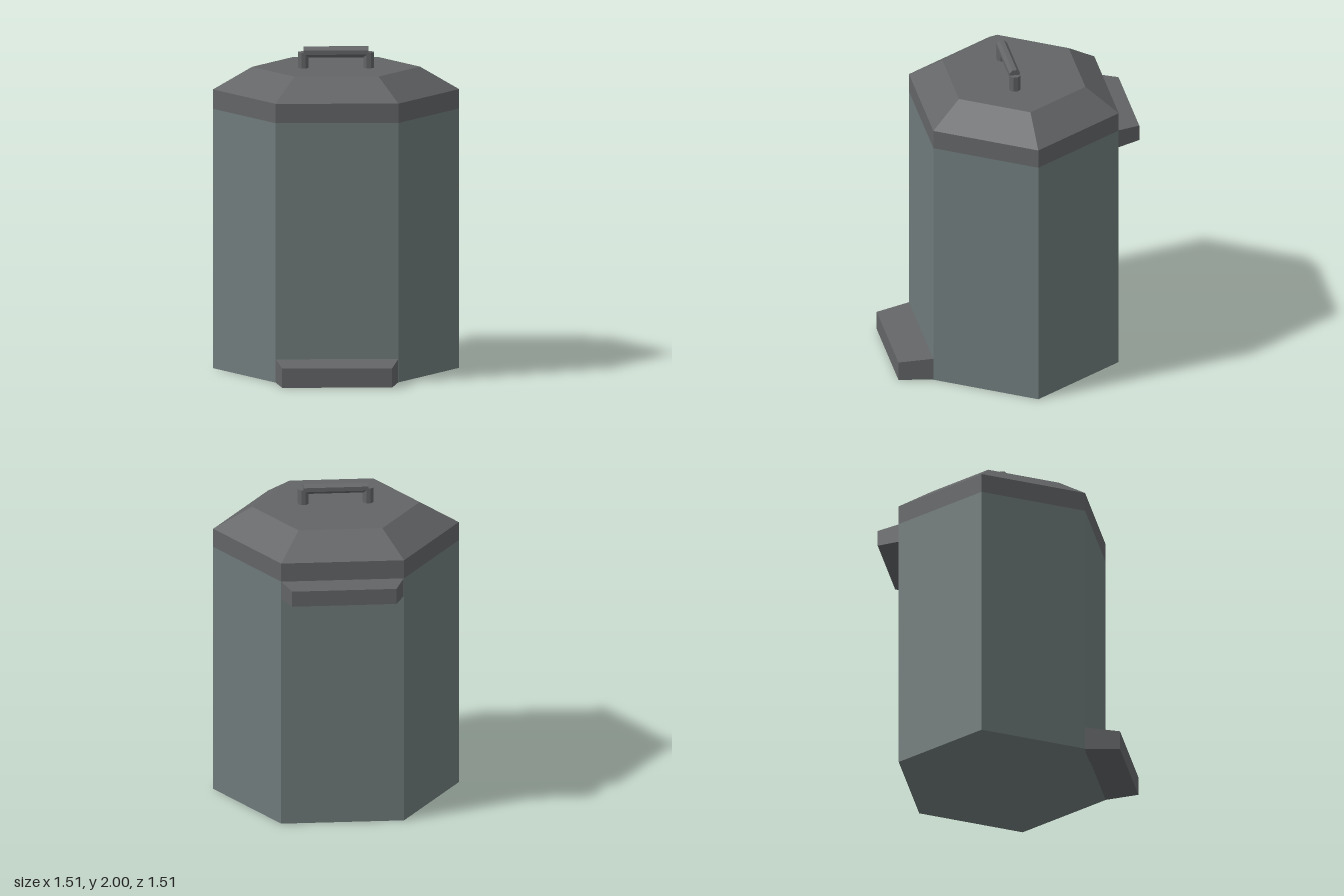
import * as THREE from 'three';

const bodyMat = new THREE.MeshStandardMaterial({ color: 0x6f7a7a, flatShading: true });
const trimMat = new THREE.MeshStandardMaterial({ color: 0x626466, flatShading: true });

const CENTRE_Z = -0.035;
const DEPTH = 0.887; // the hexagon is slightly flattened front to back

function add(parent, name, geometry, material) {
  const mesh = new THREE.Mesh(geometry, material);
  mesh.name = name;
  parent.add(mesh);
  return mesh;
}

// Closed stack of hexagonal rings given as [radius, y] from bottom to top
function hexStack(rings) {
  const points = rings.map(([r, y]) => new THREE.Vector2(r, y));
  const geo = new THREE.LatheGeometry(points, 6, Math.PI / 2);
  return geo.scale(1, 1, DEPTH).translate(0, 0, CENTRE_Z);
}

// Box tapering along z; each end is { z, halfWidth, bottom, top }
function taperedLedge(back, front) {
  const geo = new THREE.BoxGeometry(2, 1, 1);
  const p = geo.attributes.position;
  for (let i = 0; i < p.count; i++) {
    const end = p.getZ(i) > 0 ? front : back;
    p.setXYZ(i, Math.sign(p.getX(i)) * end.halfWidth, p.getY(i) > 0 ? end.top : end.bottom, end.z);
  }
  geo.computeVertexNormals();
  return geo;
}

// Octagonal rod with flats facing the axes
function rod(length) {
  return new THREE.CylinderGeometry(0.035, 0.035, length, 8).rotateY(Math.PI / 8);
}

export function createModel() {
  const model = new THREE.Group();
  model.name = 'pedalBin';

  // Bin body and bevelled lid
  add(model, 'body', hexStack([[0, 0], [0.755, 0], [0.755, 1.61]]), bodyMat);
  add(model, 'lid', hexStack([[0.755, 1.61], [0.755, 1.73], [0.515, 1.87], [0, 1.87]]), trimMat);

  // Foot pedal at the front
  add(model, 'pedal', taperedLedge(
    { z: 0.54, halfWidth: 0.377, bottom: 0, top: 0.145 },
    { z: 0.755, halfWidth: 0.337, bottom: 0, top: 0.12 }), trimMat);

  // Hinge ledge at the back
  add(model, 'hinge', taperedLedge(
    { z: -0.755, halfWidth: 0.322, bottom: 1.5, top: 1.6 },
    { z: -0.61, halfWidth: 0.377, bottom: 1.492, top: 1.61 }), trimMat);

  // Lid handle: two posts and a bar
  const handle = new THREE.Group();
  handle.name = 'handle';
  for (const side of [-1, 1]) {
    add(handle, side > 0 ? 'leftPost' : 'rightPost', rod(0.105), trimMat)
      .position.set(side * 0.2, 1.9145, 0);
  }
  add(handle, 'bar', rod(0.4).rotateZ(Math.PI / 2), trimMat).position.y = 1.968;
  model.add(handle);

  return model;
}
